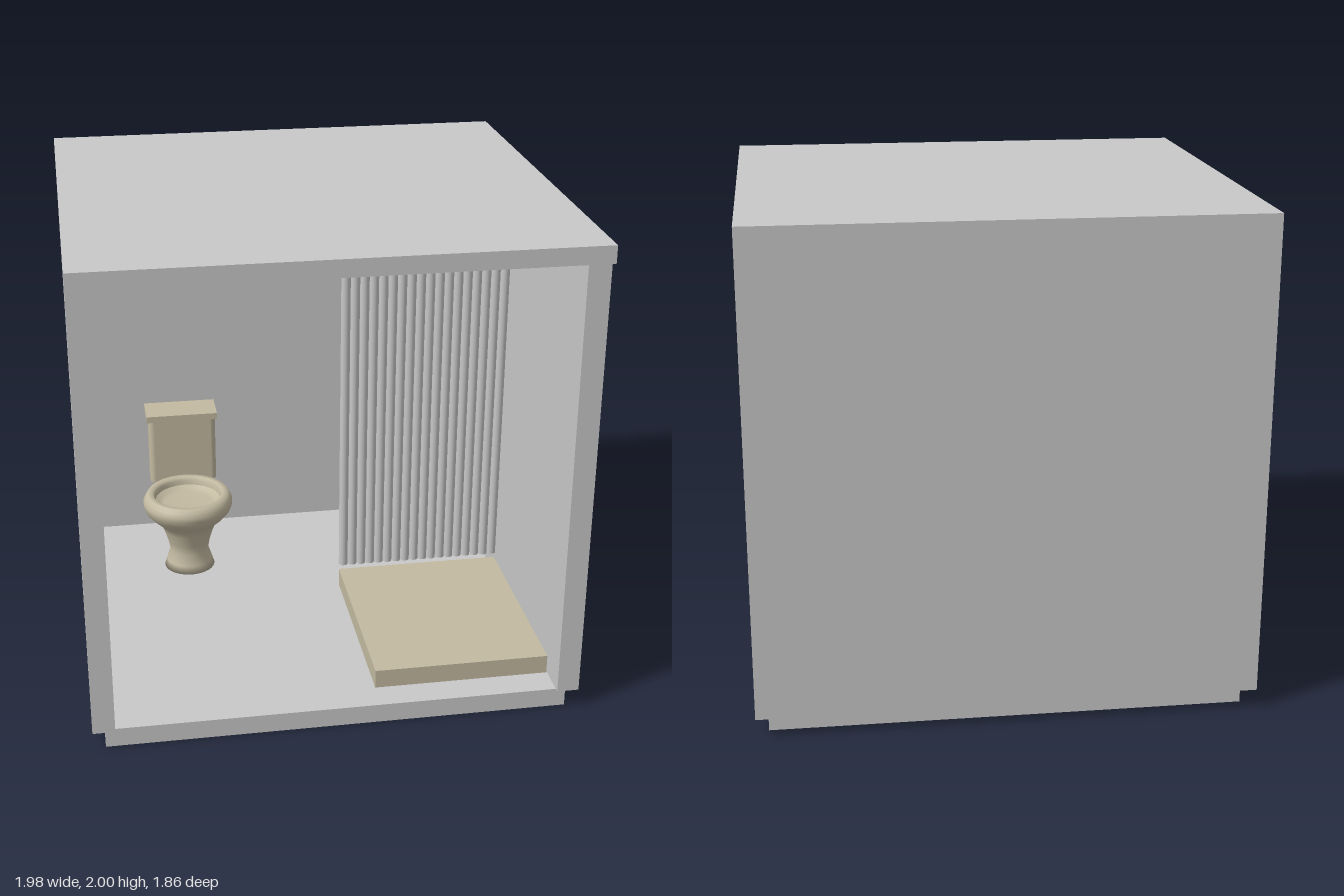
import * as THREE from 'three';

export function createModel() {
  const model = new THREE.Group();
  model.name = 'bathroom';
  const grey = new THREE.MeshStandardMaterial({ color: 0xc8c8c8 });
  grey.name = 'plasterGrey';
  const cream = new THREE.MeshStandardMaterial({ color: 0xc2b9a0 });
  cream.name = 'ceramicCream';

  const add = (name, geometry, material, parent = model) => {
    const mesh = new THREE.Mesh(geometry, material);
    mesh.name = name;
    parent.add(mesh);
    return mesh;
  };
  // box given by its lower and upper limits on each axis
  const box = (name, material, [x0, x1], [y0, y1], [z0, z1], parent = model) => {
    const mesh = add(name, new THREE.BoxGeometry(x1 - x0, y1 - y0, z1 - z0), material, parent);
    mesh.position.set((x0 + x1) / 2, (y0 + y1) / 2, (z0 + z1) / 2);
    return mesh;
  };
  const lathe = (name, points, parent) => add(name,
    new THREE.LatheGeometry(points.map(([r, y]) => new THREE.Vector2(r, y)), 40), cream, parent);

  // Room shell, open at the front
  box('floorBase', grey, [-0.94, 0.94], [0, 0.08], [-0.87, 0.87]);
  box('roof', grey, [-0.99, 0.99], [1.93, 2], [-0.93, 0.93]);
  const plan = new THREE.Shape([
    [-0.99, -0.89], [-0.9, -0.89], [-0.9, 0.84], [0.9, 0.84],
    [0.9, -0.89], [0.99, -0.89], [0.99, 0.93], [-0.99, 0.93],
  ].map(([x, y]) => new THREE.Vector2(x, y)));
  const walls = new THREE.ExtrudeGeometry(plan, { depth: 1.85, bevelEnabled: false });
  walls.rotateX(-Math.PI / 2);
  add('walls', walls, grey).position.y = 0.08;

  // Toilet
  const toilet = new THREE.Group();
  toilet.name = 'toilet';
  toilet.position.set(-0.485, 0, -0.42);
  model.add(toilet);
  lathe('toiletBowl', [
    [0, 0.08], [0.115, 0.08], [0.104, 0.115], [0.088, 0.165], [0.096, 0.21],
    [0.115, 0.27], [0.128, 0.3], [0.165, 0.335], [0.192, 0.365], [0.204, 0.395],
    [0.204, 0.415], [0.196, 0.43],
  ], toilet);
  lathe('toiletRim', [
    [0.196, 0.43], [0.184, 0.45], [0.16, 0.45], [0.152, 0.435], [0.148, 0.415],
  ], toilet);
  lathe('toiletBasin', [[0.148, 0.415], [0.13, 0.405], [0.11, 0.395], [0, 0.395]], toilet);

  // Cistern with rounded upright edges, and its lid
  const w = 0.155, d = 0.055, r = 0.025;
  const cistern = new THREE.Shape();
  cistern.absarc(w - r, d - r, r, 0, Math.PI / 2);
  cistern.absarc(-w + r, d - r, r, Math.PI / 2, Math.PI);
  cistern.absarc(-w + r, -d + r, r, Math.PI, Math.PI * 1.5);
  cistern.absarc(w - r, -d + r, r, Math.PI * 1.5, Math.PI * 2);
  const cisternGeo = new THREE.ExtrudeGeometry(cistern, { depth: 0.32, bevelEnabled: false, curveSegments: 6 });
  cisternGeo.rotateX(-Math.PI / 2);
  add('cistern', cisternGeo, cream, toilet).position.set(0, 0.415, -0.25);
  box('cisternLid', cream, [-0.165, 0.162], [0.73, 0.76], [-0.338, -0.175], toilet);

  // Shower tray and pleated curtain
  box('showerTray', cream, [0.17, 0.897], [0.08, 0.16], [-0.11, 0.745]);
  const curtain = new THREE.Group();
  curtain.name = 'showerCurtain';
  model.add(curtain);
  const folds = 18, pitch = 0.73 / folds;
  const foldGeo = new THREE.CylinderGeometry(pitch / 2, pitch / 2, 1.445, 16);
  for (let i = 0; i < folds; i++) {
    add('curtainFold', foldGeo, grey, curtain).position.set(0.165 + pitch * (i + 0.5), 0.9225, -0.09);
  }

  // Pedestal washbasin behind the curtain
  const washbasin = new THREE.Group();
  washbasin.name = 'washbasin';
  washbasin.position.set(0.583, 0, -0.6);
  model.add(washbasin);
  lathe('basinPedestal', [
    [0, 0.08], [0.085, 0.08], [0.075, 0.12], [0.067, 0.17], [0.061, 0.22], [0.058, 0.35], [0.065, 0.55],
  ], washbasin);
  lathe('basinBowl', [
    [0.06, 0.54], [0.12, 0.57], [0.18, 0.63], [0.2, 0.69], [0.2, 0.71],
    [0.17, 0.71], [0.15, 0.65], [0.1, 0.61], [0, 0.6],
  ], washbasin);
  return model;
}
